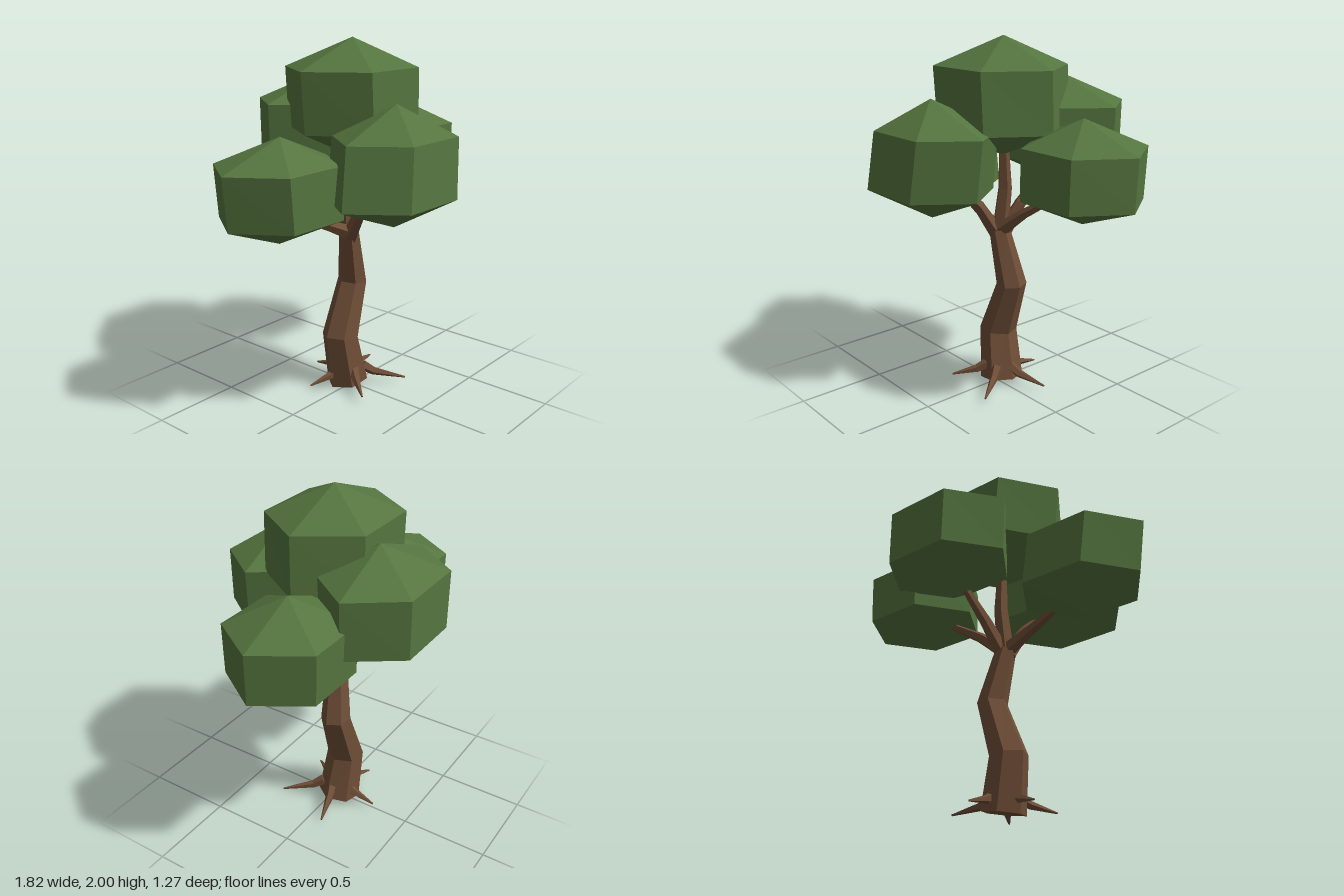
import * as THREE from 'three';

const bark = new THREE.MeshStandardMaterial({ color: 0x6f4e37 });
bark.name = 'bark brown';
const leaf = new THREE.MeshStandardMaterial({ color: 0x55753f });
leaf.name = 'leaf green';

// Faceted mesh: unshared vertices give flat normals
function facetedMesh(name, geometry, material) {
  const flat = geometry.index ? geometry.toNonIndexed() : geometry;
  flat.computeVertexNormals();
  const mesh = new THREE.Mesh(flat, material);
  mesh.name = name;
  return mesh;
}

// Tapered limb lofted through stations [x, y, z, radius], with closed ends
function limbGeometry(stations, sides, phase = 0) {
  const centres = stations.map(([x, y, z]) => new THREE.Vector3(x, y, z));
  const up = new THREE.Vector3(0, 1, 0);
  const last = stations.length - 1;
  const direction = (i) => centres[i + 1].clone().sub(centres[i]).normalize();
  const positions = [];
  const index = [];
  stations.forEach(([, , , radius], i) => {
    const tangent = new THREE.Vector3();
    if (i > 0) tangent.add(direction(i - 1));
    if (i < last) tangent.add(direction(i));
    const turn = new THREE.Quaternion().setFromUnitVectors(up, tangent.normalize());
    for (let j = 0; j < sides; j++) {
      const a = phase + (j / sides) * Math.PI * 2;
      const p = new THREE.Vector3(Math.cos(a) * radius, 0, Math.sin(a) * radius);
      positions.push(...p.applyQuaternion(turn).add(centres[i]).toArray());
    }
  });
  for (let i = 0; i < last; i++) {
    for (let j = 0; j < sides; j++) {
      const k = (j + 1) % sides;
      const a = i * sides + j, b = i * sides + k;
      index.push(a, a + sides, b, b, a + sides, b + sides);
    }
  }
  const top = last * sides;
  for (let j = 1; j < sides - 1; j++) {
    index.push(0, j, j + 1, top, top + j + 1, top + j);
  }
  const geometry = new THREE.BufferGeometry();
  geometry.setAttribute('position', new THREE.Float32BufferAttribute(positions, 3));
  geometry.setIndex(index);
  return geometry;
}

// Leaf clump: six-sided sphere whose two rings [x, y, z, halfWidth, halfDepth]
// and two poles [x, y, z] are moved into place
function clumpGeometry({ apex, upper, lower, base }) {
  const geometry = new THREE.SphereGeometry(1, 6, 3);
  const p = geometry.attributes.position;
  const ringRadius = Math.sin(Math.PI / 3);
  const ringDepth = ringRadius * ringRadius;
  for (let i = 0; i < p.count; i++) {
    const y = p.getY(i);
    if (Math.abs(y) > 0.9) {
      p.setXYZ(i, ...(y > 0 ? apex : base));
    } else {
      const [cx, cy, cz, w, d] = y > 0 ? upper : lower;
      p.setXYZ(i, cx + (p.getX(i) / ringRadius) * w, cy, cz + (p.getZ(i) / ringDepth) * d);
    }
  }
  return geometry;
}

const clumps = {
  topLeaves: {
    apex: [0.03, 2, -0.02], upper: [0.015, 1.845, -0.015, 0.395, 0.3],
    lower: [0.035, 1.52, -0.02, 0.385, 0.3], base: [0.02, 1.36, -0.02],
  },
  frontLeaves: {
    apex: [-0.09, 1.69, 0.37], upper: [-0.075, 1.525, 0.35, 0.385, 0.26],
    lower: [-0.115, 1.205, 0.365, 0.395, 0.27], base: [-0.1, 1.05, 0.37],
  },
  backLeaves: {
    apex: [0.13, 1.79, -0.35], upper: [0.125, 1.64, -0.365, 0.395, 0.27],
    lower: [0.125, 1.325, -0.365, 0.385, 0.27], base: [0.125, 1.175, -0.36],
  },
  rightLeaves: {
    apex: [-0.53, 1.54, -0.02], upper: [-0.55, 1.4, -0.025, 0.365, 0.27],
    lower: [-0.52, 1.115, -0.035, 0.36, 0.27], base: [-0.54, 0.985, -0.03],
  },
  leftLeaves: {
    apex: [0.55, 1.62, -0.1], upper: [0.555, 1.475, -0.11, 0.352, 0.275],
    lower: [0.55, 1.2, -0.105, 0.35, 0.27], base: [0.55, 1.07, -0.11],
  },
};

const branches = {
  topBranch: [[0, 0.9, -0.02, 0.05], [0.02, 1.17, -0.04, 0.04], [0.03, 1.5, -0.02, 0.025]],
  frontBranch: [[-0.01, 0.9, -0.01, 0.045], [-0.04, 1.08, 0.1, 0.034], [-0.09, 1.3, 0.32, 0.015]],
  backBranch: [[0.01, 0.9, -0.03, 0.045], [0.06, 1.08, -0.12, 0.034], [0.12, 1.35, -0.34, 0.015]],
  rightBranch: [[0.01, 0.92, -0.02, 0.045], [-0.17, 1.0, -0.02, 0.031], [-0.46, 1.12, -0.03, 0.012]],
  leftBranch: [[0, 0.92, -0.02, 0.045], [0.17, 1.05, -0.05, 0.03], [0.48, 1.24, -0.1, 0.012]],
};

export function createModel() {
  const tree = new THREE.Group();
  tree.name = 'tree';

  // Crooked six-sided trunk
  const trunk = [
    [0.002, 0.022, -0.035, 0.122],
    [-0.045, 0.31, -0.05, 0.106],
    [0.067, 0.62, -0.053, 0.085],
    [0, 0.93, -0.02, 0.058],
  ];
  tree.add(facetedMesh('trunk', limbGeometry(trunk, 6, 0.12), bark));

  // Branches reaching into each clump
  for (const [name, stations] of Object.entries(branches)) {
    tree.add(facetedMesh(name, limbGeometry(stations, 5, 0.3), bark));
  }

  // Five pointed roots around the foot
  const roots = new THREE.Group();
  roots.name = 'roots';
  [0.3, 0.32, 0.28, 0.27, 0.27].forEach((reach, k) => {
    const a = THREE.MathUtils.degToRad(-17 + 72 * k);
    const at = (r, y, radius) => [0.01 + Math.cos(a) * r, y, -0.015 + Math.sin(a) * r, radius];
    const stations = [at(0.07, 0.11, 0.032), at(0.135, 0.075, 0.024), at(reach, 0.043, 0.005)];
    roots.add(facetedMesh('root', limbGeometry(stations, 5), bark));
  });
  tree.add(roots);

  // Leaf clumps
  for (const [name, shape] of Object.entries(clumps)) {
    tree.add(facetedMesh(name, clumpGeometry(shape), leaf));
  }

  // Stand on the ground
  const box = new THREE.Box3().setFromObject(tree);
  tree.position.y = -box.min.y;
  return tree;
}
